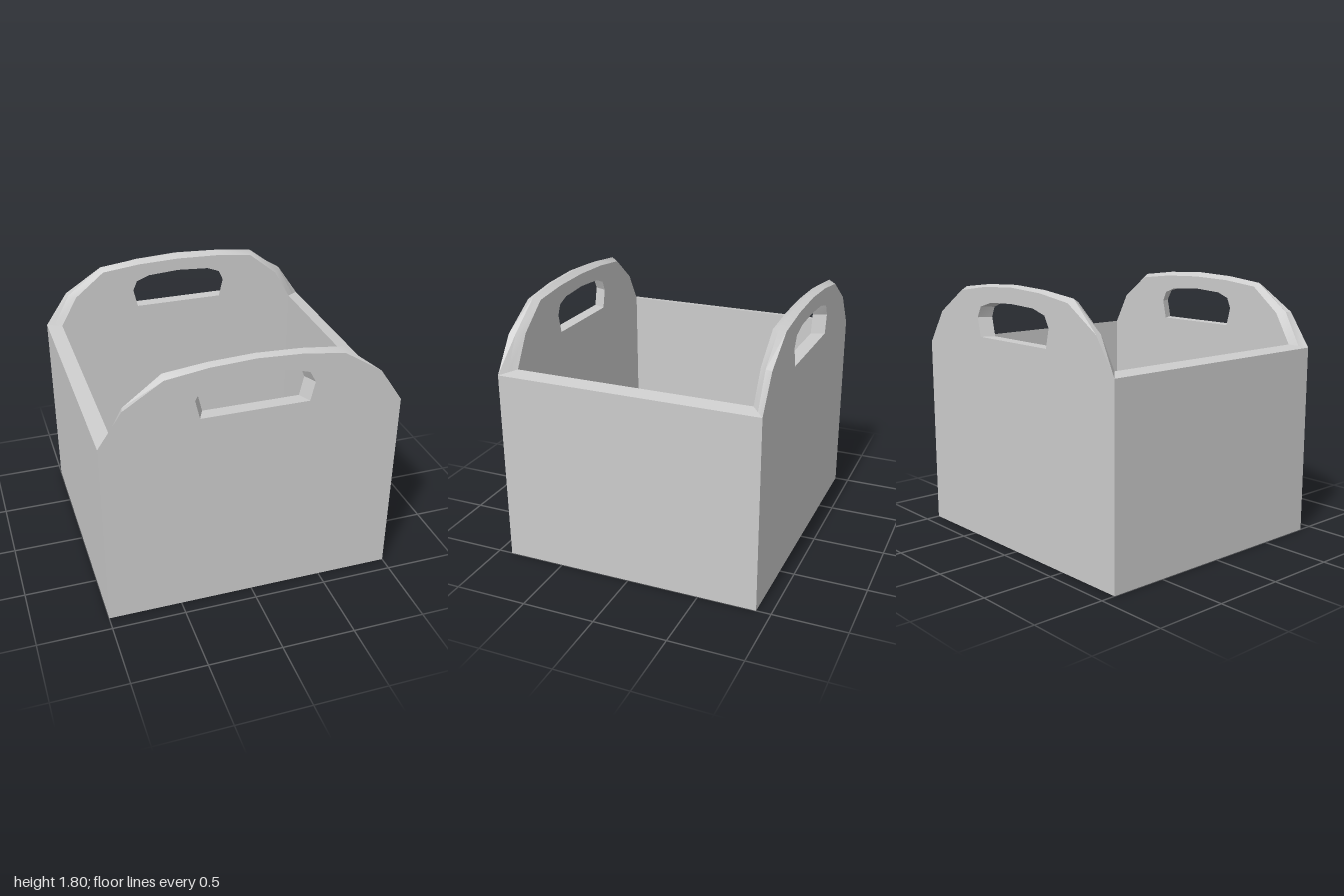
import * as THREE from 'three';
import { mergeGeometries, toCreasedNormals } from 'three/addons/utils/BufferGeometryUtils.js';

const FLOOR = 0.1, OUT_Z = 0.9, MID_Z = 0.855, IN_Z = 0.81;

// Completes a right-hand half outline [x, y] that ends on x = 0.
const mirrored = (half) => [...half, ...half.slice(0, -1).reverse().map(([x, y]) => [-x, y])];
const atZ = (points, z) => points.map(([x, y]) => [x, y, z]);

// Quads between two rows of 3D points.
function strip(a, b) {
  const v = [];
  for (let i = 0; i < a.length - 1; i++) {
    v.push(...a[i], ...b[i], ...b[i + 1], ...a[i], ...b[i + 1], ...a[i + 1]);
  }
  const g = new THREE.BufferGeometry();
  g.setAttribute('position', new THREE.Float32BufferAttribute(v, 3));
  g.computeVertexNormals();
  return toCreasedNormals(g, 0.5);
}

// Flat panel face with the grip opening cut out.
function face(outline, opening) {
  const toVectors = (pts) => pts.map(([x, y]) => new THREE.Vector2(x, y));
  const shape = new THREE.Shape(toVectors(outline));
  shape.holes.push(new THREE.Path(toVectors(opening)));
  const g = new THREE.ShapeGeometry(shape).toNonIndexed();
  g.deleteAttribute('uv');
  return g;
}

function panelGeometry() {
  // Arched rim: outer edge, raised ridge, inner edge
  const outer = [[1, 1.33], [0.84, 1.565], [0.58, 1.73], [0.3, 1.77], [0, 1.785]];
  const ridge = [[0.95, 1.34], [0.83, 1.565], [0.58, 1.755], [0.3, 1.787], [0, 1.8]];
  const inner = [[0.9, 1.35], [0.78, 1.56], [0.57, 1.73], [0.3, 1.76], [0, 1.77]];
  // Grip opening, narrowing towards the inside
  const gripOut = mirrored([[0.36, 1.43], [0.39, 1.56], [0.35, 1.635], [0.23, 1.67], [0, 1.68]]);
  const gripIn = mirrored([[0.32, 1.43], [0.35, 1.56], [0.32, 1.63], [0.23, 1.665], [0, 1.68]]);
  const closed = (pts) => [...pts, pts[0]];
  const row = (half, z) => atZ(mirrored(half), z);

  return mergeGeometries([
    face(mirrored([[1, 0], ...outer]), gripOut).translate(0, 0, OUT_Z),
    face(mirrored([[0.9, FLOOR], ...inner]), gripIn).rotateY(Math.PI).translate(0, 0, IN_Z),
    strip(row(outer, OUT_Z), row(ridge, MID_Z)),
    strip(row(ridge, MID_Z), row(inner, IN_Z)),
    strip(atZ(closed(gripIn), IN_Z), atZ(closed(gripOut), OUT_Z)),
  ]);
}

function sideWallGeometry() {
  // Section runs up the outside, over the sloped top and down the inside
  const end = (s) => [
    [1, 0, s * OUT_Z], [1, 1.33, s * OUT_Z], [0.9, 1.35, s * IN_Z], [0.9, FLOOR, s * IN_Z],
  ];
  return strip(end(1), end(-1));
}

export function createModel() {
  const model = new THREE.Group();
  model.name = 'carryBox';
  const material = new THREE.MeshStandardMaterial({ color: 0xcccccc });
  const add = (name, geometry, turn = 0) => {
    const mesh = new THREE.Mesh(geometry, material);
    mesh.name = name;
    mesh.rotation.y = turn;
    model.add(mesh);
  };

  // Handle panels, front and back
  const panel = panelGeometry();
  add('frontPanel', panel);
  add('backPanel', panel, Math.PI);

  // Low side walls
  const wall = sideWallGeometry();
  add('leftWall', wall);
  add('rightWall', wall, Math.PI);

  // Inner floor and underside
  add('floor', new THREE.PlaneGeometry(1.8, 2 * IN_Z).rotateX(-Math.PI / 2).translate(0, FLOOR, 0));
  add('underside', new THREE.PlaneGeometry(2, 2 * OUT_Z).rotateX(Math.PI / 2));

  return model;
}
